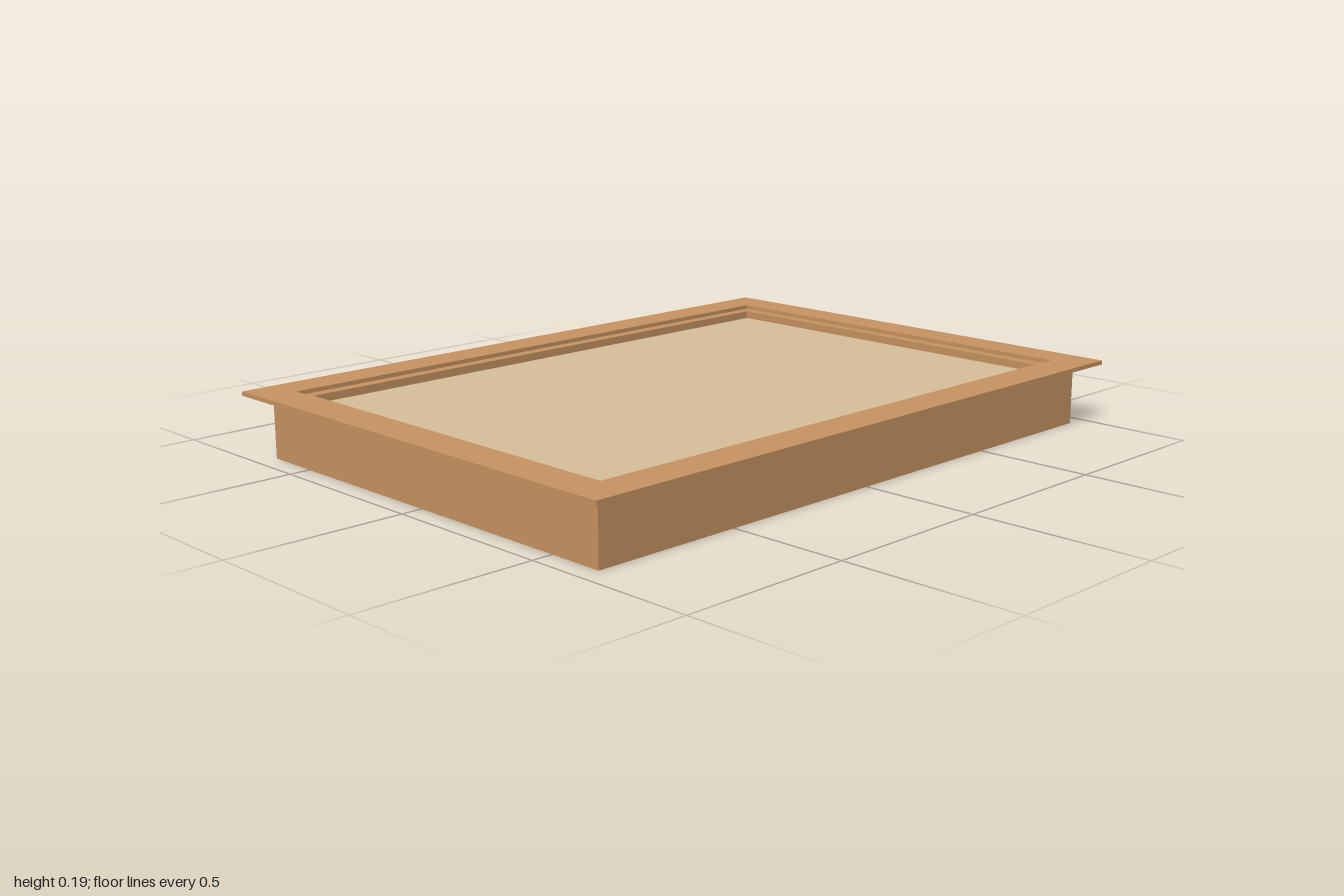
import * as THREE from 'three';

export function createModel() {
  const wood = new THREE.MeshStandardMaterial({ color: 0xc89462 });
  wood.name = 'wood';
  const linen = new THREE.MeshStandardMaterial({ color: 0xd9c09a });
  linen.name = 'linen';

  const group = new THREE.Group();
  group.name = 'trayTable';

  // Box spanning y0..y1, centred on (x, z)
  const board = (name, w, d, y0, y1, x, z, material = wood) => {
    const mesh = new THREE.Mesh(new THREE.BoxGeometry(w, y1 - y0, d), material);
    mesh.position.set(x, (y0 + y1) / 2, z);
    mesh.name = name;
    group.add(mesh);
  };

  const X = 0.94, Z = 0.66;       // outer half size of the box
  const wall = 0.078;             // wall thickness
  const floorTop = 0.03, wallTop = 0.178, top = 0.19;

  // Base board and inset panel
  board('base', 2 * X, 2 * Z, 0, floorTop, 0, 0);
  board('panel', 2 * (X - wall), 2 * (Z - wall), 0.145, 0.155, 0, 0, linen);

  // Walls: long boards run the full width, short ones fit between them
  for (const s of [1, -1]) {
    board(s > 0 ? 'frontWall' : 'backWall', 2 * X, wall, floorTop, wallTop, 0, s * (Z - wall / 2));
    board(s > 0 ? 'leftWall' : 'rightWall', wall, 2 * (Z - wall), floorTop, wallTop, s * (X - wall / 2), 0);
  }

  // Thin overhanging rim, leaving a narrow step on top of the walls
  const rimX = 1, rimZ = 0.72, rim = 0.105;
  for (const s of [1, -1]) {
    board(s > 0 ? 'leftRim' : 'rightRim', rim, 2 * rimZ, wallTop, top, s * (rimX - rim / 2), 0);
    board(s > 0 ? 'frontRim' : 'backRim', 2 * (rimX - rim), rim, wallTop, top, 0, s * (rimZ - rim / 2));
  }

  return group;
}
